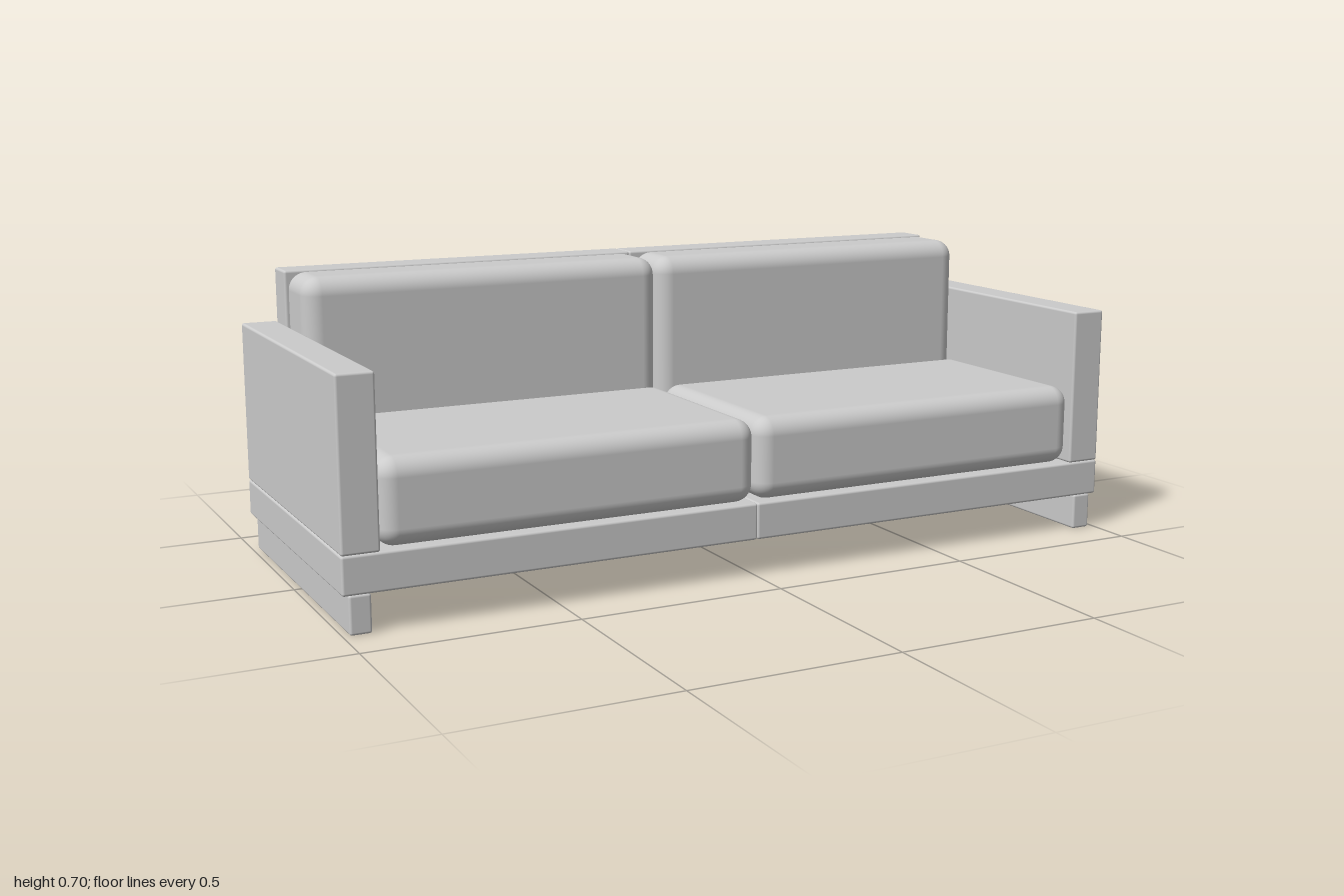
import * as THREE from 'three';
import { RoundedBoxGeometry } from 'three/addons/geometries/RoundedBoxGeometry.js';

const material = new THREE.MeshStandardMaterial({ color: 0xcccccc });

// Rounded block given by its extents along each axis
function block(name, [x0, x1], [y0, y1], [z0, z1], radius, segments) {
  const geometry = new RoundedBoxGeometry(x1 - x0, y1 - y0, z1 - z0, segments, radius);
  const mesh = new THREE.Mesh(geometry, material);
  mesh.name = name;
  mesh.position.set((x0 + x1) / 2, (y0 + y1) / 2, (z0 + z1) / 2);
  return mesh;
}

export function createModel() {
  const sofa = new THREE.Group();
  sofa.name = 'sofa';

  const edge = 0.006;  // softened edge of the frame panels
  const soft = 0.043;  // full rounding of the cushions
  const inner = 0.913; // inner face of the armrests

  // name, x, y and z extents, radius, segments for the left half
  const parts = [
    ['Leg', [0.935, 0.985], [0, 0.089], [-0.386, 0.386], edge, 3],
    ['Base', [0, 1], [0.089, 0.177], [-0.39, 0.39], edge, 3],
    ['Armrest', [inner, 1], [0.177, 0.566], [-0.39, 0.39], edge, 3],
    ['Backrest', [0, inner], [0.177, 0.697], [-0.39, -0.304], edge, 3],
    ['SeatCushion', [0, inner], [0.177, 0.375], [-0.132, 0.388], soft, 6],
    ['BackCushion', [0, inner], [0.177, 0.697], [-0.304, -0.132], soft, 6],
  ];

  // Both halves are mirror images across x = 0
  for (const [side, sign] of [['left', 1], ['right', -1]]) {
    const half = new THREE.Group();
    half.name = side + 'Half';
    for (const [name, ...shape] of parts) {
      const mesh = block(side + name, ...shape);
      mesh.position.x *= sign;
      half.add(mesh);
    }
    sofa.add(half);
  }
  return sofa;
}
